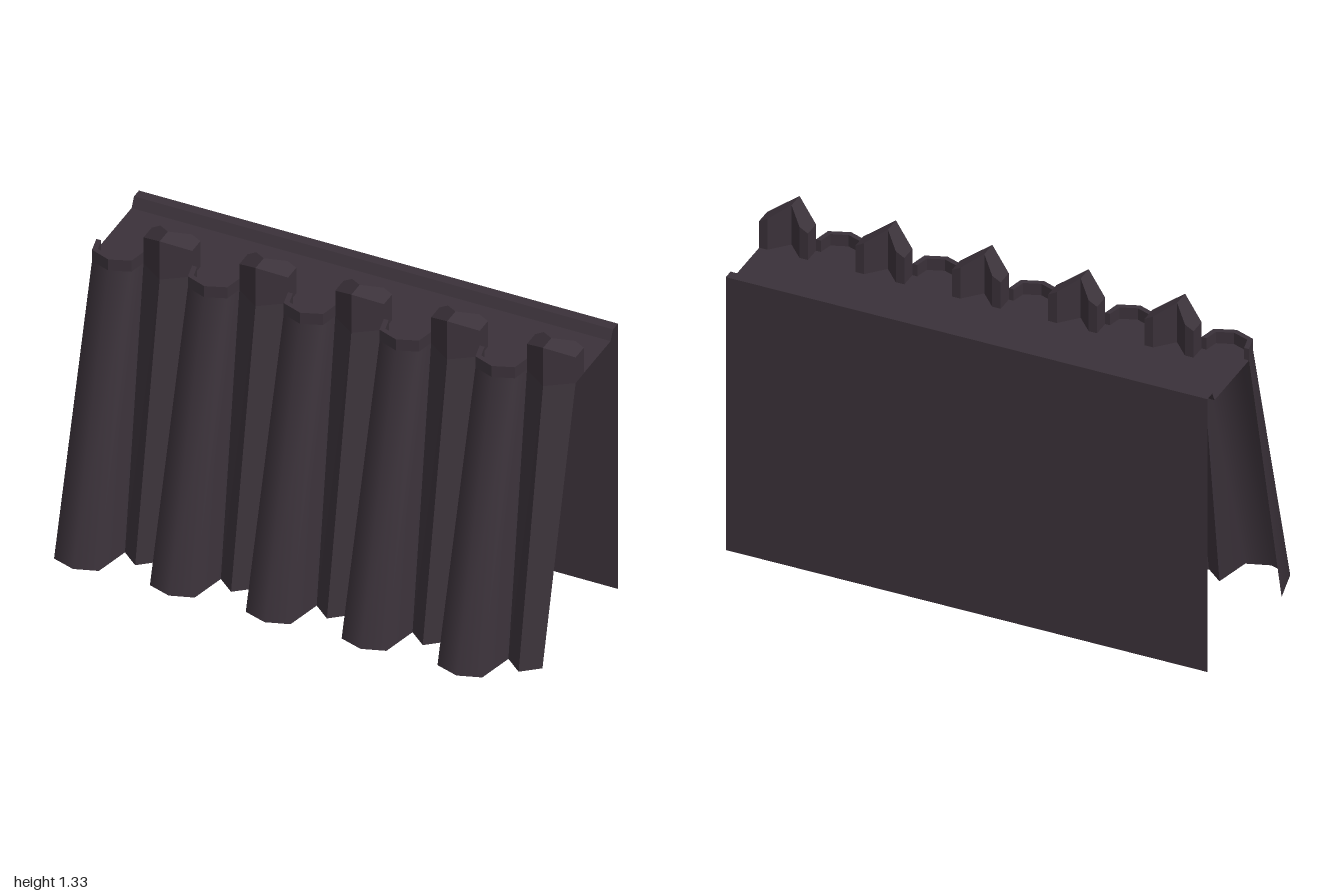
import * as THREE from 'three';

const stone = new THREE.MeshStandardMaterial({ color: 0x3a3139, side: THREE.DoubleSide });
stone.name = 'darkStone';

const PITCH = 0.394, COUNT = 5, FIRST = -0.872;
const DECK = 1.16, RIM = 1.21;

// Half-hexagon column and V pillar outlines as [x, z], at the ground and at deck height
const columnLow = [[-0.127, 0.2], [-0.092, 0.35], [0, 0.38], [0.092, 0.35], [0.127, 0.2]];
const columnHigh = [[-0.097, -0.02], [-0.081, 0.05], [0, 0.08], [0.081, 0.05], [0.097, -0.02]];
const columnInner = [[-0.077, -0.02], [-0.064, 0.035], [0, 0.058], [0.064, 0.035], [0.077, -0.02]];
const pillarLow = [[-0.07, 0.2], [0, 0.258], [0.07, 0.2]];
const pillarHigh = [[-0.1, -0.02], [0, 0.05], [0.1, -0.02]];

const atHeight = (outline, y) => outline.map(([x, z]) => [x, y, z]);

// Surface between two matching rows of points
function sheet(low, high, smooth) {
  const n = low.length, index = [];
  for (let i = 0; i < n - 1; i++) index.push(i, i + 1, n + i + 1, i, n + i + 1, n + i);
  let g = new THREE.BufferGeometry();
  g.setAttribute('position', new THREE.Float32BufferAttribute([...low, ...high].flat(), 3));
  g.setIndex(index);
  if (!smooth) g = g.toNonIndexed();
  g.computeVertexNormals();
  return g;
}

const planShape = (outline) => new THREE.Shape(outline.map(([x, z]) => new THREE.Vector2(x, -z)));

// Upright prism over a plan outline
function prism(outline, y0, y1) {
  const g = new THREE.ExtrudeGeometry(planShape(outline), { depth: y1 - y0, bevelEnabled: false });
  return g.rotateX(-Math.PI / 2).translate(0, y0, 0);
}

// One half of the chevron merlon, with its top falling away from the ridge
function merlonHalf(side) {
  const half = [[0, 0.05], [0.1, -0.02], [0.1, -0.09], [0.065, -0.09], [0, -0.02]];
  const g = prism(half.map(([x, z]) => [x * side, z]), DECK, 1.33);
  const p = g.attributes.position;
  for (let i = 0; i < p.count; i++) {
    if (p.getY(i) > 1.3) p.setY(i, 1.333 - 0.57 * Math.abs(p.getX(i)));
  }
  g.computeVertexNormals();
  return g;
}

export function createModel() {
  const model = new THREE.Group();
  model.name = 'battlementWall';
  const add = (name, geometry, x = 0) => {
    const mesh = new THREE.Mesh(geometry, stone);
    mesh.name = name;
    mesh.position.x = x;
    model.add(mesh);
  };

  const column = sheet(atHeight(columnLow, 0), atHeight(columnHigh, DECK), true);
  const pillar = sheet(atHeight(pillarLow, 0), atHeight(pillarHigh, DECK), false);
  const rim = prism([...columnHigh, ...[...columnInner].reverse()], DECK, RIM);
  const merlonParts = [merlonHalf(1), merlonHalf(-1)];

  // Repeating front: leaning columns with rims, V pillars with merlons
  const deckEdge = [];
  for (let i = 0; i < COUNT; i++) {
    const cx = FIRST + i * PITCH, px = cx + PITCH / 2;
    add('column', column, cx);
    add('columnRim', rim, cx);
    add('pillar', pillar, px);
    merlonParts.forEach((g) => add('merlon', g, px));
    columnHigh.forEach(([x, z]) => deckEdge.push([cx + x, z]));
    deckEdge.push([px, -0.02]);
  }

  // Walkway deck filling the column tops
  const left = -0.969, right = 1;
  const deck = new THREE.ShapeGeometry(planShape([...deckEdge, [right, -0.02], [right, -0.32], [left, -0.32]]));
  add('deck', deck.rotateX(-Math.PI / 2).translate(0, DECK, 0));

  // Rear lip and plain back wall
  const lip = [[-0.32, DECK], [-0.34, 1.2], [-0.382, 1.2]];
  const back = [[-0.382, 1.2], [-0.382, 0]];
  const row = (section, x) => section.map(([z, y]) => [x, y, z]);
  add('rearLip', sheet(row(lip, left), row(lip, right), false));
  add('backWall', sheet(row(back, left), row(back, right), false));

  return model;
}
